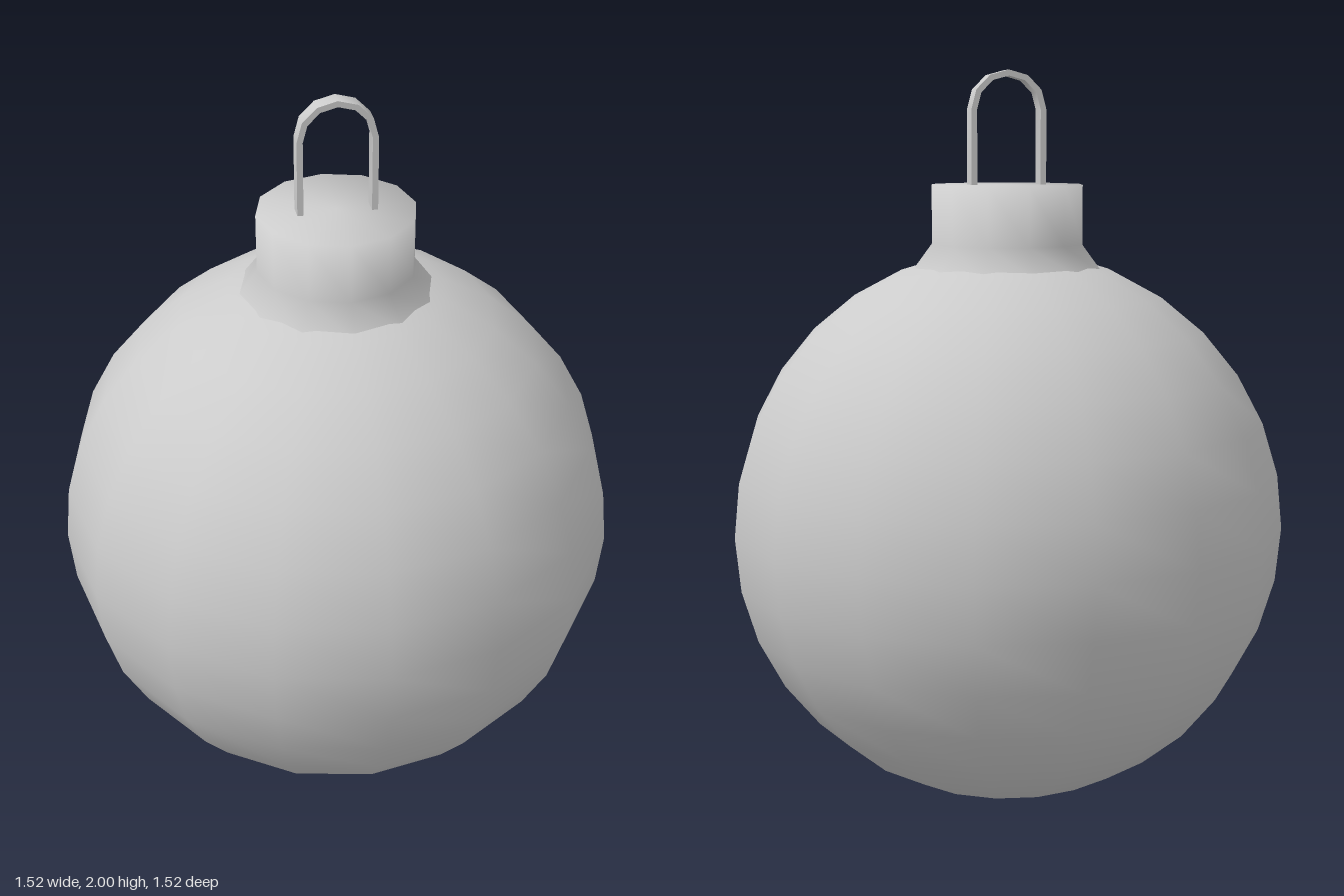
import * as THREE from 'three';
import { toCreasedNormals } from 'three/addons/utils/BufferGeometryUtils.js';

const BALL_RADIUS = 0.76;

export function createModel() {
  const group = new THREE.Group();
  const material = new THREE.MeshStandardMaterial({ color: 0xcccccc });

  const add = (name, geometry) => {
    const mesh = new THREE.Mesh(geometry, material);
    mesh.name = name;
    group.add(mesh);
    return mesh;
  };

  // Round bauble body
  add('ball', new THREE.SphereGeometry(BALL_RADIUS, 16, 16)).position.y = BALL_RADIUS;

  // Twelve-sided cap: flared skirt sunk into the ball, straight neck, closed top
  const capProfile = [[0.27, 1.455], [0.21, 1.535], [0.21, 1.695], [0, 1.695]]
    .map(([r, y]) => new THREE.Vector2(r, y));
  add('cap', new THREE.LatheGeometry(capProfile, 12));

  // Flat-strip hanging loop: two straight legs joined by a half-round arch
  const outer = 0.105, inner = 0.089, foot = 1.68, spring = 1.895, depth = 0.046;
  const arch = (radius) => Array.from({ length: 7 }, (_, i) => {
    const a = (i / 6) * Math.PI;
    return new THREE.Vector2(radius * Math.cos(a), spring + radius * Math.sin(a));
  });
  const outline = [
    new THREE.Vector2(outer, foot), ...arch(outer), new THREE.Vector2(-outer, foot),
    new THREE.Vector2(-inner, foot), ...arch(inner).reverse(), new THREE.Vector2(inner, foot),
  ];
  const loop = new THREE.ExtrudeGeometry(new THREE.Shape(outline), { depth, bevelEnabled: false });
  loop.translate(0, 0, -depth / 2);
  add('hangingLoop', toCreasedNormals(loop, 0.7));

  return group;
}
